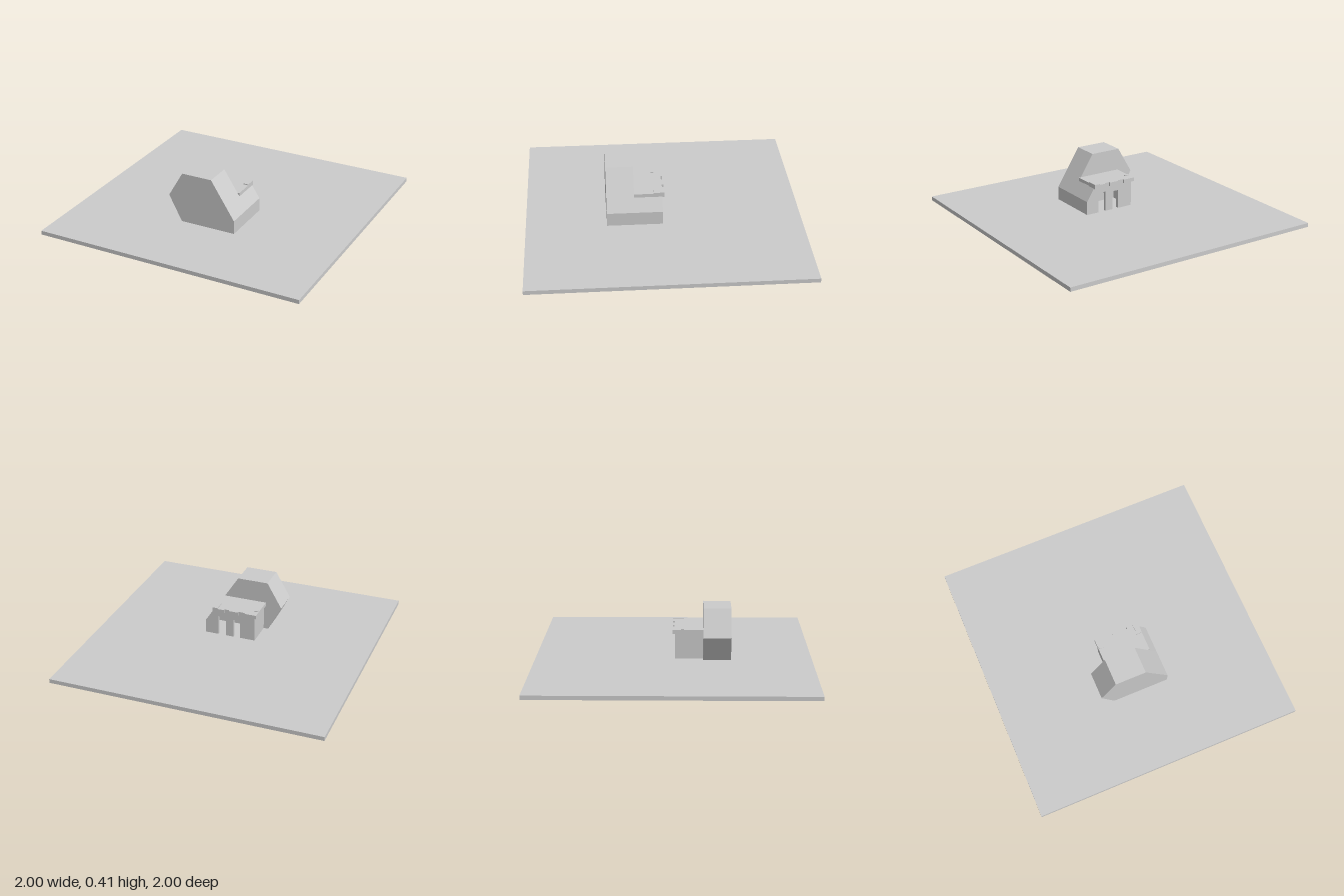
import * as THREE from 'three';

const grey = new THREE.MeshStandardMaterial({ color: 0xcccccc, flatShading: true, side: THREE.DoubleSide });

// Outline in x/y, extruded from z0 to z1, with optional rectangular holes
function prism(name, points, z0, z1) {
  const shape = new THREE.Shape(points.map(([x, y]) => new THREE.Vector2(x, y)));
  const geometry = new THREE.ExtrudeGeometry(shape, { depth: z1 - z0, bevelEnabled: false });
  geometry.translate(0, 0, z0);
  const mesh = new THREE.Mesh(geometry, grey);
  mesh.name = name;
  return mesh;
}

// Box given by its lower and upper limits
function block(name, [x0, y0, z0], [x1, y1, z1]) {
  const mesh = new THREE.Mesh(new THREE.BoxGeometry(x1 - x0, y1 - y0, z1 - z0), grey);
  mesh.name = name;
  mesh.position.set((x0 + x1) / 2, (y0 + y1) / 2, (z0 + z1) / 2);
  return mesh;
}

export function createModel() {
  const model = new THREE.Group();
  model.name = 'buildingOnPlot';

  // Flat square plot
  model.add(block('ground', [-1, 0, -1], [1, 0.03, 1]));

  // Tall faceted block at the front
  model.add(prism('tower', [
    [-0.19, 0.03], [0.23, 0.03], [0.23, 0.13], [0.05, 0.41], [-0.18, 0.41], [-0.29, 0.22],
  ], 0.215, 0.415));

  // Low wing: rear wall with two doorways cut up from the floor
  const wing = new THREE.Group();
  wing.name = 'lowWing';
  wing.add(prism('rearWall', [
    [-0.155, 0.03], [-0.04, 0.03], [-0.04, 0.17], [0.01, 0.17], [0.01, 0.03],
    [0.07, 0.03], [0.07, 0.18], [0.13, 0.18], [0.13, 0.03], [0.23, 0.03],
    [0.23, 0.13], [0.171, 0.222], [-0.155, 0.222],
  ], 0.012, 0.035));

  // Side walls, one of them following the tower's slope
  wing.add(block('sideWall', [-0.155, 0.03, 0.035], [-0.135, 0.222, 0.215]));
  wing.add(prism('slopedWall', [
    [0.2, 0.03], [0.23, 0.03], [0.23, 0.13], [0.171, 0.222], [0.14, 0.222], [0.2, 0.125],
  ], 0.035, 0.215));

  // Overhanging roof, seen in plan, with two shallow notches in its rear edge
  const plan = new THREE.Shape([
    [-0.17, -0.005], [-0.08, -0.005], [-0.08, 0.008], [-0.03, 0.008], [-0.03, -0.005],
    [0.04, -0.005], [0.04, 0.008], [0.08, 0.008], [0.08, -0.005],
    [0.17, -0.005], [0.17, 0.215], [-0.17, 0.215],
  ].map(([x, z]) => new THREE.Vector2(x, z)));
  const roof = new THREE.Mesh(
    new THREE.ExtrudeGeometry(plan, { depth: 0.028, bevelEnabled: false }).rotateX(Math.PI / 2), grey);
  roof.name = 'roof';
  roof.position.y = 0.248;
  wing.add(roof);

  // Small raised pieces on the roof
  wing.add(block('roofCurb', [0.13, 0.246, -0.005], [0.17, 0.255, 0.075]));
  wing.add(block('roofVent', [-0.165, 0.246, 0.055], [-0.135, 0.253, 0.075]));
  model.add(wing);

  return model;
}
